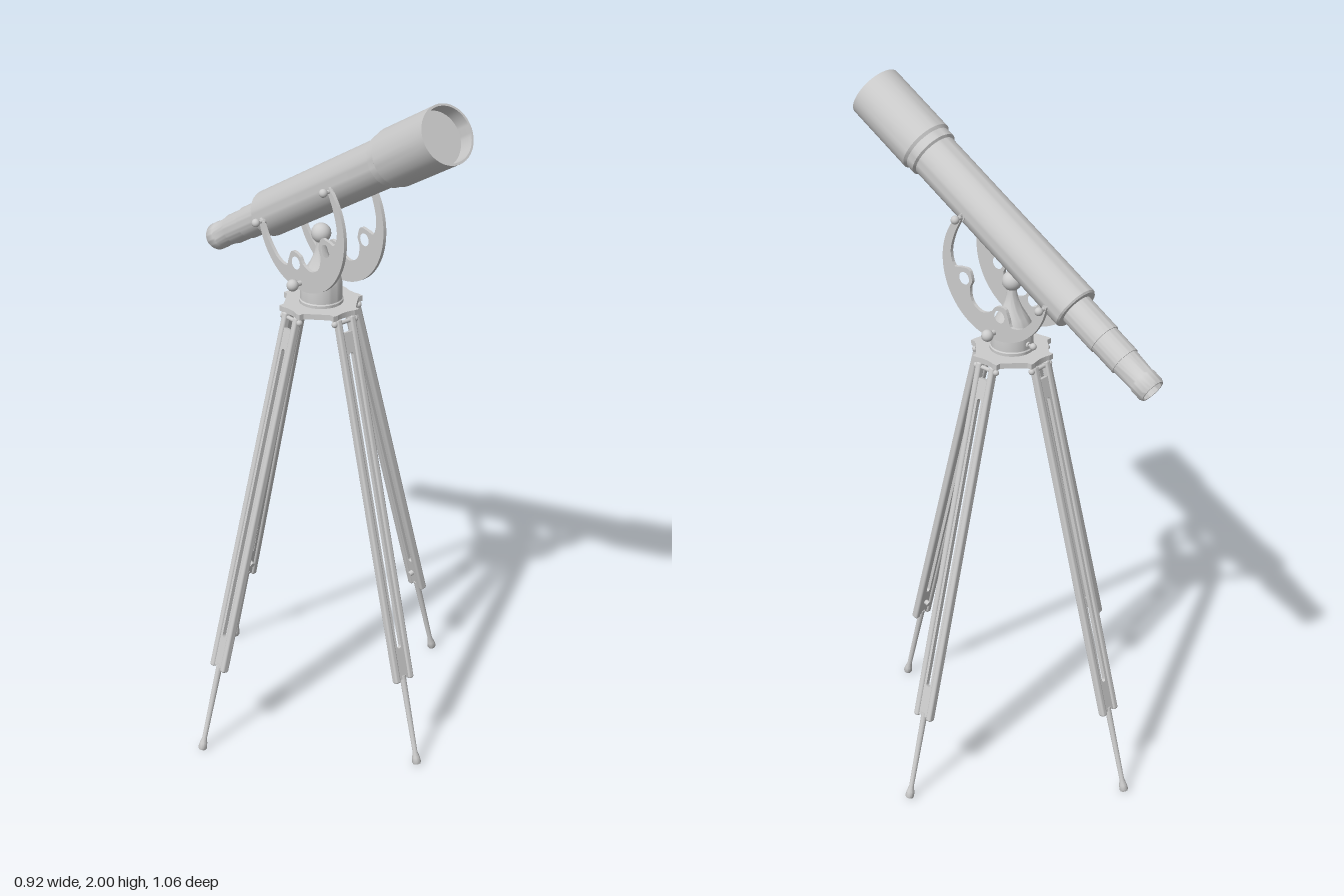
import * as THREE from 'three';
import { toCreasedNormals } from 'three/addons/utils/BufferGeometryUtils.js';
import { RoundedBoxGeometry } from 'three/addons/geometries/RoundedBoxGeometry.js';

const grey = new THREE.MeshStandardMaterial({ color: 0xcccccc });
const AXIS_Z = -0.01; // tripod centre line
const TILT = Math.PI / 6;

function add(parent, name, geo, x = 0, y = 0, z = 0) {
  const m = new THREE.Mesh(geo, grey);
  m.name = name;
  m.position.set(x, y, z);
  parent.add(m);
  return m;
}

// Turned part from [radius, height] pairs, listed bottom to top
function turned(pts, seg = 40) {
  const geo = new THREE.LatheGeometry(pts.map(p => new THREE.Vector2(p[0], p[1])), seg);
  return toCreasedNormals(geo, 0.6);
}

// Ball-headed screw pointing along +x (side = 1) or -x (side = -1)
function screw(parent, name, side, x0, x1, r, y, z) {
  const g = new THREE.Group();
  g.name = name;
  g.position.set(0, y, z);
  const len = x1 - x0;
  add(g, 'shank', new THREE.CylinderGeometry(r * 0.45, r * 0.45, len, 12).rotateZ(Math.PI / 2), side * (x0 + x1) / 2);
  add(g, 'collar', new THREE.CylinderGeometry(r * 0.85, r * 0.85, 0.006, 16).rotateZ(Math.PI / 2), side * (x0 + 0.003));
  add(g, 'ball', new THREE.SphereGeometry(r, 18, 12), side * x1);
  parent.add(g);
}

function opticalTube() {
  return turned([
    [0, -0.515], [0.03, -0.515], [0.032, -0.53], [0.036, -0.53], [0.04, -0.522], [0.04, -0.49],
    [0.038, -0.485], [0.041, -0.42], [0.044, -0.42], [0.044, -0.338], [0.047, -0.338],
    [0.047, -0.225], [0.063, -0.225], [0.067, -0.22], [0.067, 0.37], [0.074, 0.375],
    [0.074, 0.4], [0.08, 0.408], [0.08, 0.6276], [0.074, 0.6276], [0.074, 0.582], [0, 0.582],
  ], 48).rotateX(Math.PI / 2);
}

// Crescent cradle side plate, with pierced lobes along its inner edge
function crescent() {
  const s = new THREE.Shape();
  const a = 0.3, R = 0.19;
  s.absarc(0, 0, R, a, Math.PI - a, true);
  s.quadraticCurveTo(-0.178, 0.074, -0.168, 0.05);
  s.splineThru([
    [-0.166, 0], [-0.152, -0.055], [-0.122, -0.085], [-0.1, -0.07], [-0.075, -0.055], [-0.05, -0.075],
    [-0.045, -0.1], [-0.025, -0.125], [0, -0.132], [0.025, -0.125], [0.045, -0.1], [0.05, -0.075],
    [0.075, -0.055], [0.1, -0.07], [0.122, -0.085], [0.152, -0.055], [0.166, 0], [0.168, 0.05],
  ].map(p => new THREE.Vector2(p[0], p[1])));
  s.quadraticCurveTo(0.178, 0.074, R * Math.cos(a), R * Math.sin(a));
  for (const x of [-0.075, 0.075]) {
    const h = new THREE.Path();
    h.absarc(x, -0.09, 0.018, 0, Math.PI * 2, true);
    s.holes.push(h);
  }
  const geo = new THREE.ExtrudeGeometry(s, { depth: 0.01, bevelEnabled: false, curveSegments: 40 });
  return toCreasedNormals(geo.translate(0, 0, -0.005).rotateY(-Math.PI / 2), 0.6);
}

// Slotted board that sits between the two rails of a leg
function slottedBoard() {
  const s = new THREE.Shape();
  s.moveTo(-0.016, -1.08);
  s.lineTo(0.016, -1.08);
  s.lineTo(0.016, -0.05);
  s.lineTo(-0.016, -0.05);
  s.closePath();
  const h = new THREE.Path();
  h.absarc(0, -0.115, 0.007, 0, Math.PI, false);
  h.absarc(0, -0.98, 0.007, Math.PI, Math.PI * 2, false);
  h.closePath();
  s.holes.push(h);
  return new THREE.ExtrudeGeometry(s, { depth: 0.012, bevelEnabled: false, curveSegments: 10 })
    .translate(0, 0, -0.006).rotateY(Math.PI / 2);
}

// One leg, hanging from its hinge and leaning outwards along +x
function leg() {
  const g = new THREE.Group();
  g.name = 'leg';
  g.position.set(0.1, 1.305, 0);
  g.rotation.z = 0.26;
  for (const s of [-1, 1]) {
    add(g, 'rail', new RoundedBoxGeometry(0.022, 1.08, 0.018, 3, 0.006), 0, -0.547, s * 0.024);
    add(g, 'hingeBolt', new THREE.SphereGeometry(0.009, 12, 8), 0, -0.02, s * 0.036);
  }
  add(g, 'slottedBoard', slottedBoard());
  add(g, 'hingePin', new THREE.CylinderGeometry(0.006, 0.006, 0.07, 12).rotateX(Math.PI / 2), 0, -0.02, 0);
  add(g, 'lowerRod', turned([
    [0, -1.347], [0.011, -1.347], [0.013, -1.342], [0.011, -1.327], [0.007, -1.31], [0.009, -1.07], [0, -1.07],
  ], 20));
  add(g, 'clampKnob', new THREE.CylinderGeometry(0.008, 0.008, 0.014, 14).rotateZ(Math.PI / 2), -0.014, -1.03, 0);
  return g;
}

// Four-armed head plate with scalloped corners
function headPlate() {
  const s = new THREE.Shape();
  s.moveTo(0.112, -0.045);
  for (let i = 0; i < 4; i++) {
    const c = Math.round(Math.cos(i * Math.PI / 2)), n = Math.round(Math.sin(i * Math.PI / 2));
    const at = (x, y) => [x * c - y * n, x * n + y * c];
    s.lineTo(...at(0.112, -0.03));
    s.quadraticCurveTo(...at(0.102, 0), ...at(0.112, 0.03));
    s.lineTo(...at(0.112, 0.045));
    s.lineTo(...at(0.098, 0.045));
    s.quadraticCurveTo(...at(0.07, 0.07), ...at(0.045, 0.098));
    s.lineTo(...at(0.045, 0.112));
  }
  const geo = new THREE.ExtrudeGeometry(s, { depth: 0.016, bevelEnabled: false, curveSegments: 10 });
  return geo.rotateX(-Math.PI / 2);
}

export function createModel() {
  const model = new THREE.Group();
  model.name = 'telescopeOnTripod';

  // Tripod with four legs
  const stand = new THREE.Group();
  stand.name = 'stand';
  stand.position.z = AXIS_Z;
  model.add(stand);
  for (let i = 0; i < 4; i++) {
    const arm = new THREE.Group();
    arm.name = 'legMount';
    arm.rotation.y = i * Math.PI / 2;
    arm.add(leg());
    stand.add(arm);
  }
  add(stand, 'headPlate', headPlate(), 0, 1.298, 0);

  // Bell-shaped pedestal with ball finial
  add(stand, 'pedestal', turned([
    [0, 1.305], [0.062, 1.305], [0.062, 1.322], [0.059, 1.325], [0.059, 1.37], [0.054, 1.39], [0.042, 1.412],
    [0.029, 1.434], [0.019, 1.458], [0.014, 1.48], [0.013, 1.5], [0, 1.5],
  ]));
  add(stand, 'finial', new THREE.SphereGeometry(0.028, 24, 16), 0, 1.515, 0);
  const lock = new THREE.Group();
  lock.name = 'rotationLock';
  lock.rotation.y = Math.PI / 2;
  screw(lock, 'lockScrew', 1, 0.058, 0.078, 0.01, 1.34, 0);
  stand.add(lock);
  for (const s of [-1, 1]) screw(stand, 'pivotKnob', s, 0.045, 0.1, 0.017, 1.385, 0);

  // Tilting cradle and tube
  const tilt = new THREE.Group();
  tilt.name = 'tiltingTube';
  tilt.position.set(0, 1.553, AXIS_Z);
  tilt.rotation.x = -TILT;
  model.add(tilt);
  add(tilt, 'opticalTube', opticalTube(), 0, 0.073, 0);
  for (const s of [-1, 1]) {
    add(tilt, 'cradlePlate', crescent(), s * 0.068, 0, 0);
    for (const z of [-0.174, 0.174]) screw(tilt, 'tubeScrew', s, 0.06, 0.091, 0.012, 0.053, z);
  }
  return model;
}
